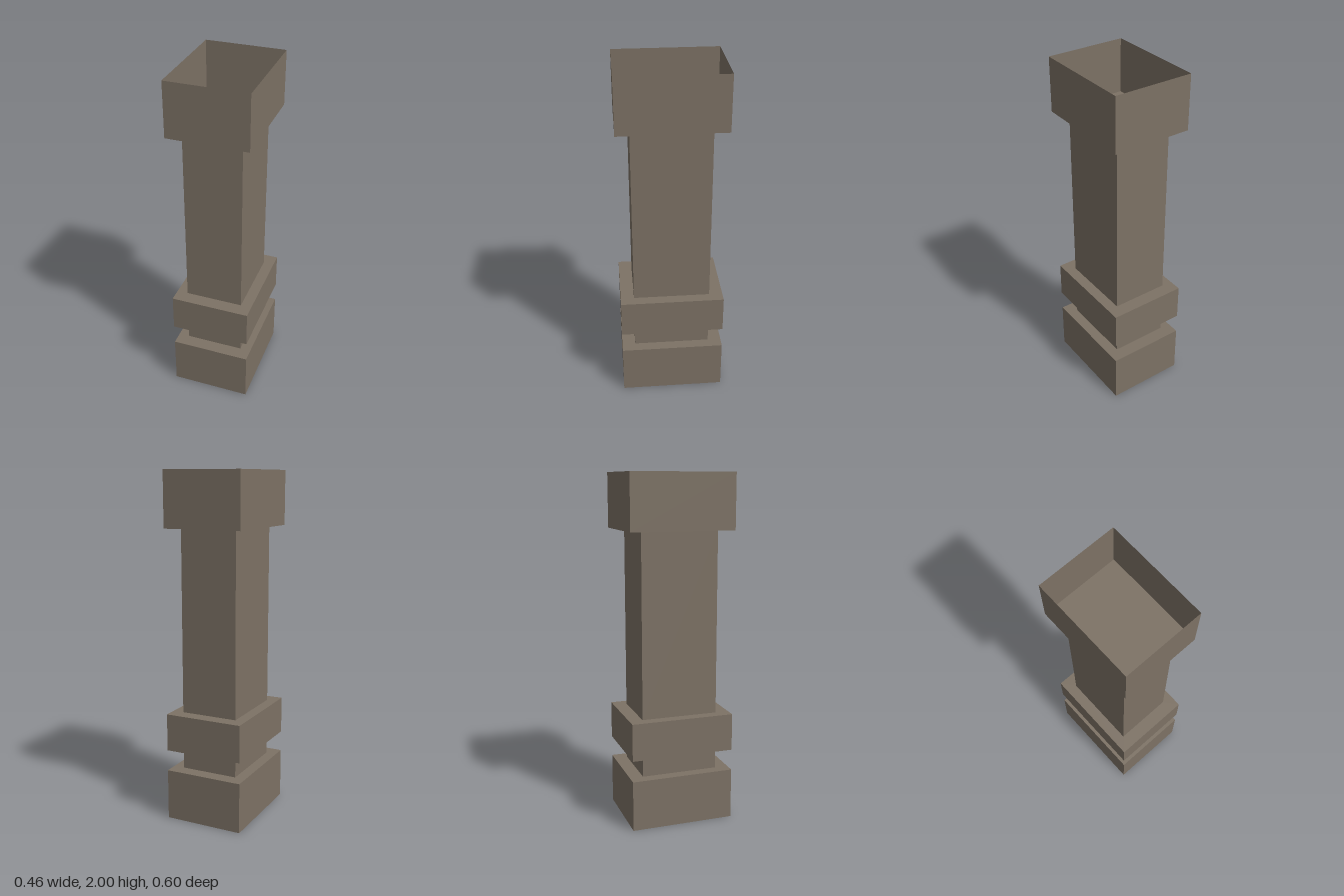
import * as THREE from 'three';

const OUTER = { x: 0.23, z: 0.3 };
const INNER = { x: 0.167, z: 0.222 };

export function createModel() {
  const group = new THREE.Group();
  const stone = new THREE.MeshStandardMaterial({ color: 0x7d7265, side: THREE.DoubleSide });
  stone.name = 'warm grey stone';

  const add = (name, geometry, y) => {
    const mesh = new THREE.Mesh(geometry, stone);
    mesh.name = name;
    mesh.position.y = y;
    group.add(mesh);
    return mesh;
  };

  // Four thin walls, open above and below
  const walls = (name, size, y0, y1) => {
    const h = y1 - y0;
    const part = new THREE.Group();
    part.name = name;
    for (let i = 0; i < 4; i++) {
      const alongX = i % 2 === 0;
      const sign = i < 2 ? 1 : -1;
      const wall = new THREE.Mesh(new THREE.PlaneGeometry(2 * (alongX ? size.x : size.z), h), stone);
      wall.name = `${name}Wall`;
      wall.position.set(alongX ? 0 : sign * size.x, (y0 + y1) / 2, alongX ? sign * size.z : 0);
      wall.rotation.y = i * Math.PI / 2;
      part.add(wall);
    }
    group.add(part);
  };

  const corners = (s) => [[-1, -1], [1, -1], [1, 1], [-1, 1]]
    .map(([a, b]) => new THREE.Vector2(a * s.x, b * s.z));

  // Horizontal ledge between band and shaft, optionally closed
  const ledge = (name, y, open = true) => {
    const shape = new THREE.Shape(corners(OUTER));
    if (open) shape.holes.push(new THREE.Path(corners(INNER).reverse()));
    add(name, new THREE.ShapeGeometry(shape).rotateX(-Math.PI / 2), y);
  };

  // Base, open underneath
  walls('base', OUTER, 0, 0.295);
  ledge('baseLedge', 0.295);

  // Neck and middle band
  walls('neck', INNER, 0.295, 0.418);
  ledge('bandUnderside', 0.418);
  walls('middleBand', OUTER, 0.418, 0.635);
  ledge('bandLedge', 0.635);

  // Tall shaft
  walls('shaft', INNER, 0.635, 1.687);

  // Capital, open at the top with a floor over the shaft
  ledge('capitalFloor', 1.687, false);
  walls('capital', OUTER, 1.687, 2);

  return group;
}
